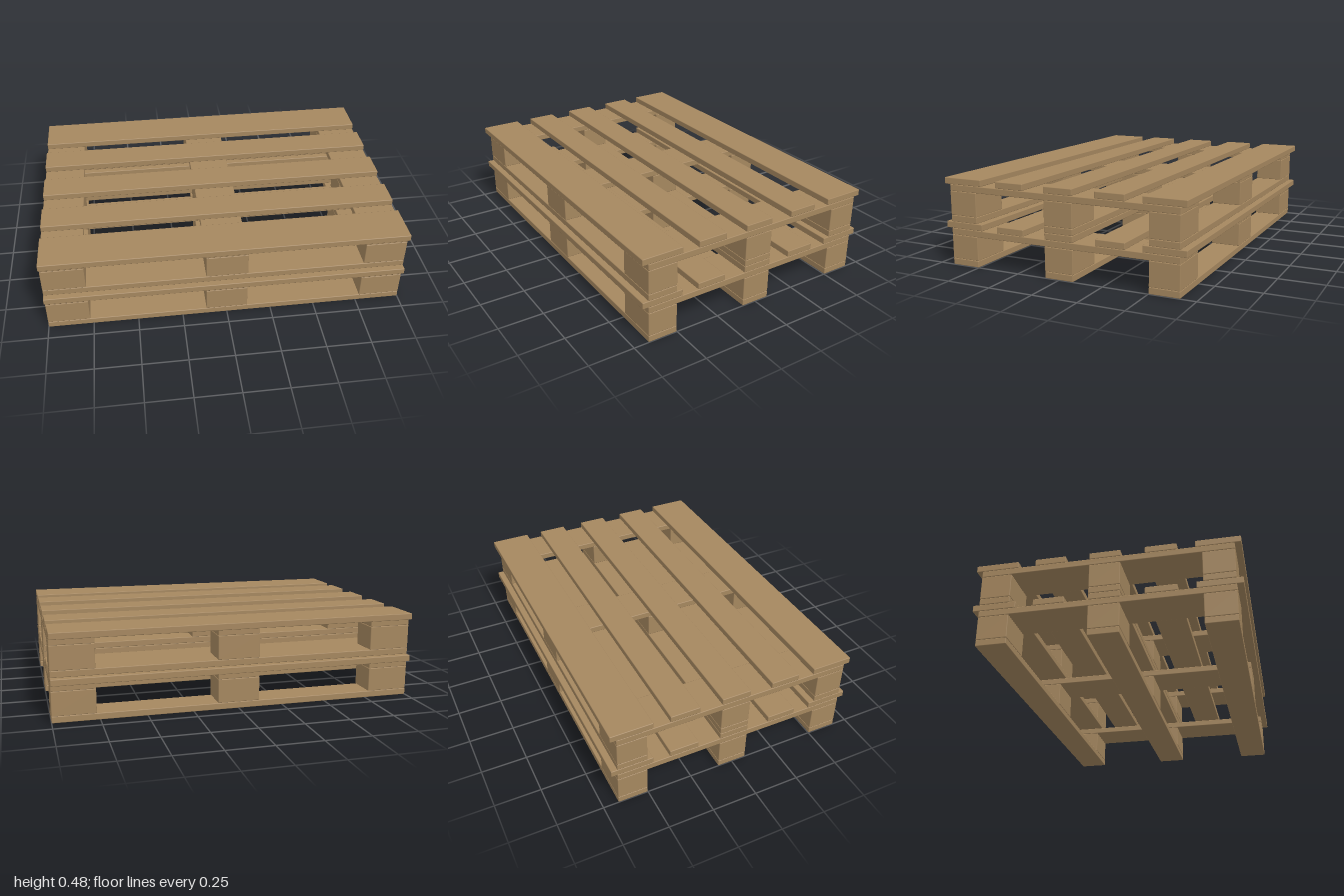
import * as THREE from 'three';
import { RoundedBoxGeometry } from 'three/addons/geometries/RoundedBoxGeometry.js';

const wood = new THREE.MeshStandardMaterial({ color: 0xa5875f });
wood.name = 'wood';

const BOARD = 0.036;   // thickness of every plank
const BLOCK = 0.132;   // height of the spacer blocks
const HEIGHT = 3 * BOARD + BLOCK;

// Plank or block with slightly eased edges, resting on y
function timber(parent, name, w, h, d, x, y, z) {
  const mesh = new THREE.Mesh(new RoundedBoxGeometry(w, h, d, 1, 0.004), wood);
  mesh.name = name;
  mesh.position.set(x, y + h / 2, z);
  parent.add(mesh);
}

function createPallet() {
  const pallet = new THREE.Group();
  const rowZ = [-0.584, 0, 0.584];
  const columnX = [-0.884, 0, 0.884];

  // Bottom runners with three blocks on each
  for (const z of rowZ) {
    timber(pallet, 'bottomRunner', 2, BOARD, 0.165, 0, 0, z);
    for (const x of columnX) timber(pallet, 'spacerBlock', 0.232, BLOCK, 0.165, x, BOARD, z);
  }

  // Cross boards running front to back over the blocks
  for (const x of columnX) {
    timber(pallet, 'crossBoard', 0.232, BOARD, 1.333, x, BOARD + BLOCK, 0);
  }

  // Deck boards: wide at the edges, narrow between
  for (const [z, depth] of [[-0.584, 0.232], [-0.292, 0.165], [0, 0.165], [0.292, 0.165], [0.584, 0.232]]) {
    timber(pallet, 'deckBoard', 2, BOARD, depth, 0, 2 * BOARD + BLOCK, z);
  }
  return pallet;
}

export function createModel() {
  const model = new THREE.Group();
  model.name = 'palletStack';
  ['lowerPallet', 'upperPallet'].forEach((name, i) => {
    const pallet = createPallet();
    pallet.name = name;
    pallet.position.y = i * HEIGHT;
    model.add(pallet);
  });
  return model;
}
